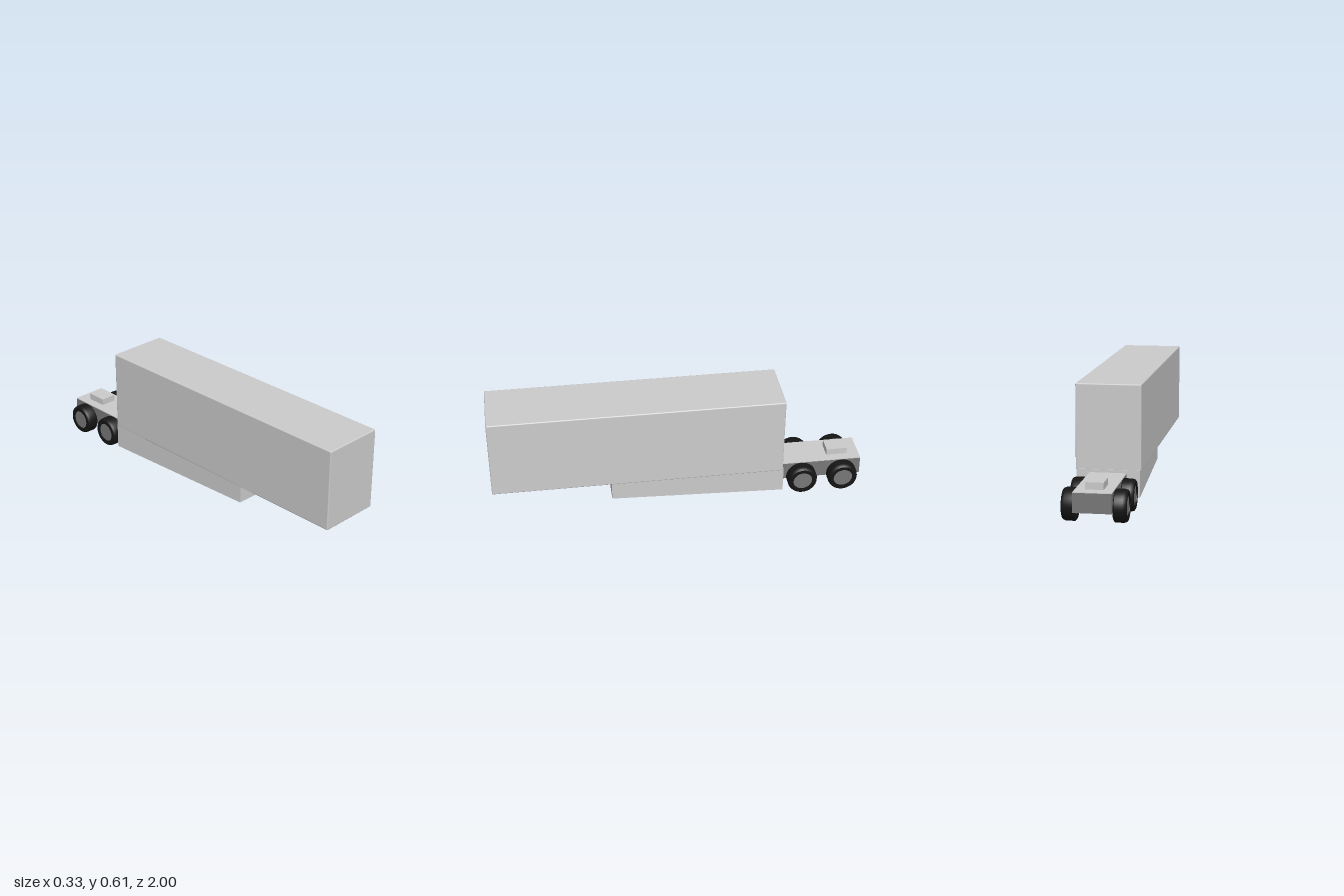
import * as THREE from 'three';
import { toCreasedNormals } from 'three/addons/utils/BufferGeometryUtils.js';
import { RoundedBoxGeometry } from 'three/addons/geometries/RoundedBoxGeometry.js';

const grey = new THREE.MeshStandardMaterial({ color: 0xcccccc });
const darkGrey = new THREE.MeshStandardMaterial({ color: 0x777777 });
const black = new THREE.MeshStandardMaterial({ color: 0x151515 });

function add(parent, name, geometry, material, x = 0, y = 0, z = 0) {
  const mesh = new THREE.Mesh(geometry, material);
  mesh.name = name;
  mesh.position.set(x, y, z);
  parent.add(mesh);
  return mesh;
}

// Box given by its lower and upper limits
function addBox(parent, name, material, [x0, x1], [y0, y1], [z0, z1]) {
  const geometry = new THREE.BoxGeometry(x1 - x0, y1 - y0, z1 - z0);
  return add(parent, name, geometry, material, (x0 + x1) / 2, (y0 + y1) / 2, (z0 + z1) / 2);
}

// Skirt box that narrows and rises slightly towards the front
function skirtGeometry() {
  const geometry = new THREE.BoxGeometry(1, 1, 1);
  const p = geometry.attributes.position;
  for (let i = 0; i < p.count; i++) {
    const front = p.getZ(i) > 0;
    const bottom = front ? 0.046 : 0.041;
    p.setXYZ(i,
      Math.sign(p.getX(i)) * (front ? 0.12 : 0.16),
      p.getY(i) > 0 ? 0.18 : bottom,
      front ? 0.365 : -0.56);
  }
  geometry.computeVertexNormals();
  return geometry;
}

// Tyre section: radius, then distance along the axle (outer side positive)
const tyreProfile = [
  [0.052, -0.024], [0.052, -0.033], [0.074, -0.033], [0.081, -0.026],
  [0.081, 0.016], [0.077, 0.028], [0.071, 0.033], [0.052, 0.033], [0.052, 0.024],
].map(([r, y]) => new THREE.Vector2(r, y));

function createWheel(side, z) {
  const wheel = new THREE.Group();
  wheel.name = side > 0 ? 'leftWheel' : 'rightWheel';
  const tyre = toCreasedNormals(new THREE.LatheGeometry(tyreProfile, 32), 0.6);
  add(wheel, 'tyre', tyre, black);
  add(wheel, 'hub', new THREE.CylinderGeometry(0.053, 0.053, 0.054, 32), darkGrey);
  wheel.rotation.z = -side * Math.PI / 2;
  wheel.position.set(side * 0.124, 0.083, z);
  return wheel;
}

export function createModel() {
  const model = new THREE.Group();
  model.name = 'trailer';

  // Cargo body with small rounded edges
  add(model, 'cargoBox', new RoundedBoxGeometry(0.332, 0.437, 1.555, 2, 0.006), grey, 0, 0.3935, 0.2225);
  add(model, 'lowerSkirt', skirtGeometry(), grey);

  // Rear chassis with its deck and raised block
  addBox(model, 'chassis', darkGrey, [-0.094, 0.094], [0.065, 0.162], [-1, -0.55]);
  addBox(model, 'chassisDeck', grey, [-0.094, 0.094], [0.162, 0.165], [-1, -0.55]);
  addBox(model, 'couplingBlock', grey, [-0.045, 0.045], [0.16, 0.2], [-0.935, -0.822]);

  // Two axles with a wheel on each side
  for (const z of [-0.672, -0.895]) {
    const axle = add(model, 'axle', new THREE.CylinderGeometry(0.015, 0.015, 0.22, 16), darkGrey, 0, 0.083, z);
    axle.rotation.z = Math.PI / 2;
    for (const side of [-1, 1]) model.add(createWheel(side, z));
  }
  return model;
}
